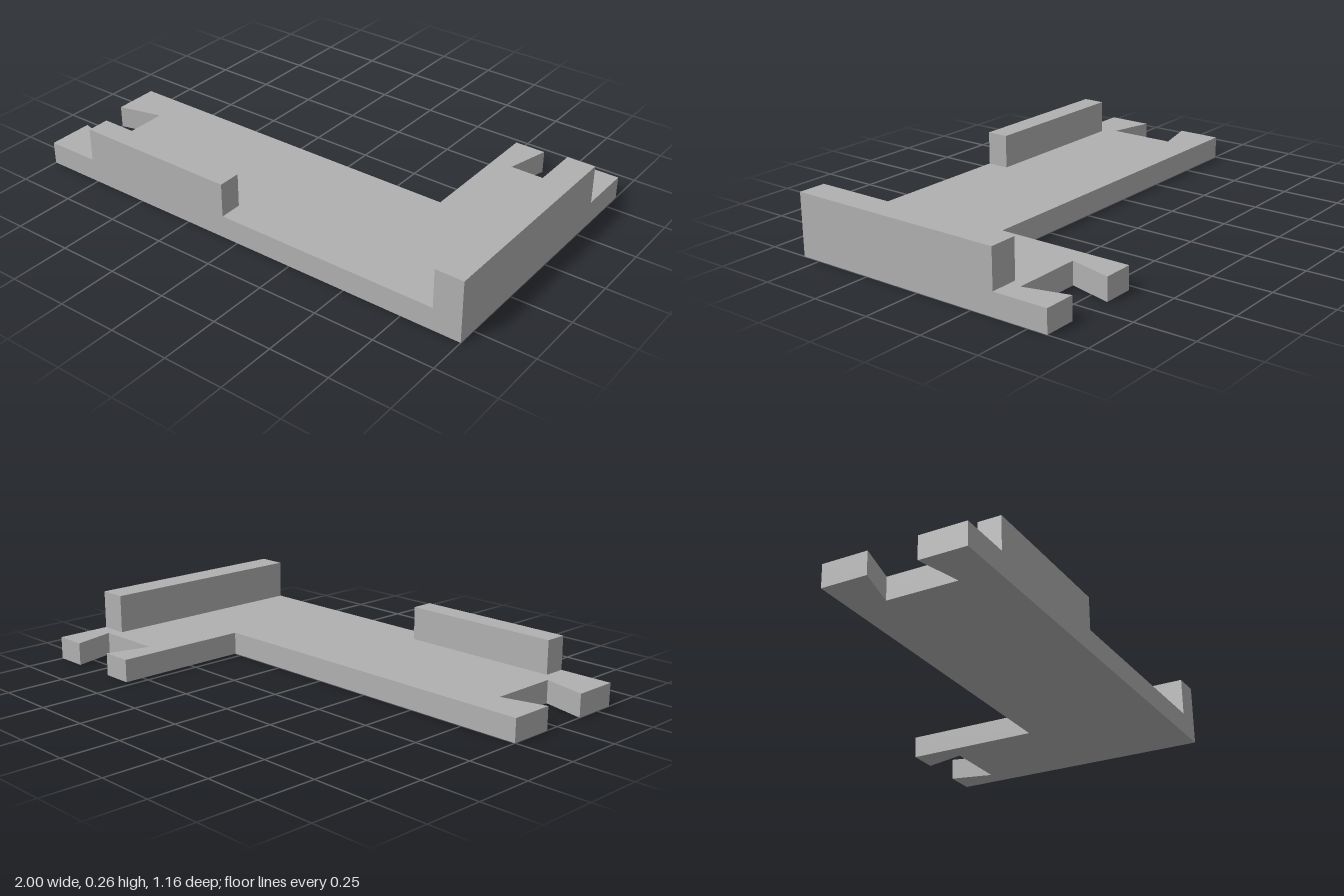
import * as THREE from 'three';

export function createModel() {
  const model = new THREE.Group();
  const grey = new THREE.MeshStandardMaterial({ color: 0xb0b0b0 });
  grey.name = 'plain grey';

  const thickness = 0.095;
  const front = 0.582;

  // L-shaped base plate with a dovetail notch in each end, outlined as [x, z]
  const outline = [
    [-1, front], [1, front], [1, -front],
    [0.865, -front], [0.912, -0.398], [0.619, -0.398], [0.666, -front], // back notch
    [0.535, -front], [0.535, 0], [-1, 0],
    [-1, 0.189], [-0.812, 0.143], [-0.812, 0.437], [-1, 0.39], // side notch
  ];
  const shape = new THREE.Shape(outline.map(([x, z]) => new THREE.Vector2(x, -z)));
  const plateGeometry = new THREE.ExtrudeGeometry(shape, { depth: thickness, bevelEnabled: false });
  plateGeometry.rotateX(-Math.PI / 2);
  const plate = new THREE.Mesh(plateGeometry, grey);
  plate.name = 'basePlate';
  model.add(plate);

  // Upright rails standing on the plate edges
  function addRail(name, x0, x1, z0, z1, top) {
    const rail = new THREE.Mesh(new THREE.BoxGeometry(x1 - x0, top - thickness, z1 - z0), grey);
    rail.position.set((x0 + x1) / 2, (top + thickness) / 2, (z0 + z1) / 2);
    rail.name = name;
    model.add(rail);
  }
  addRail('frontRail', -0.77, -0.07, 0.487, front, 0.236);
  addRail('sideRail', 0.882, 1, -0.35, front, 0.257);

  return model;
}
